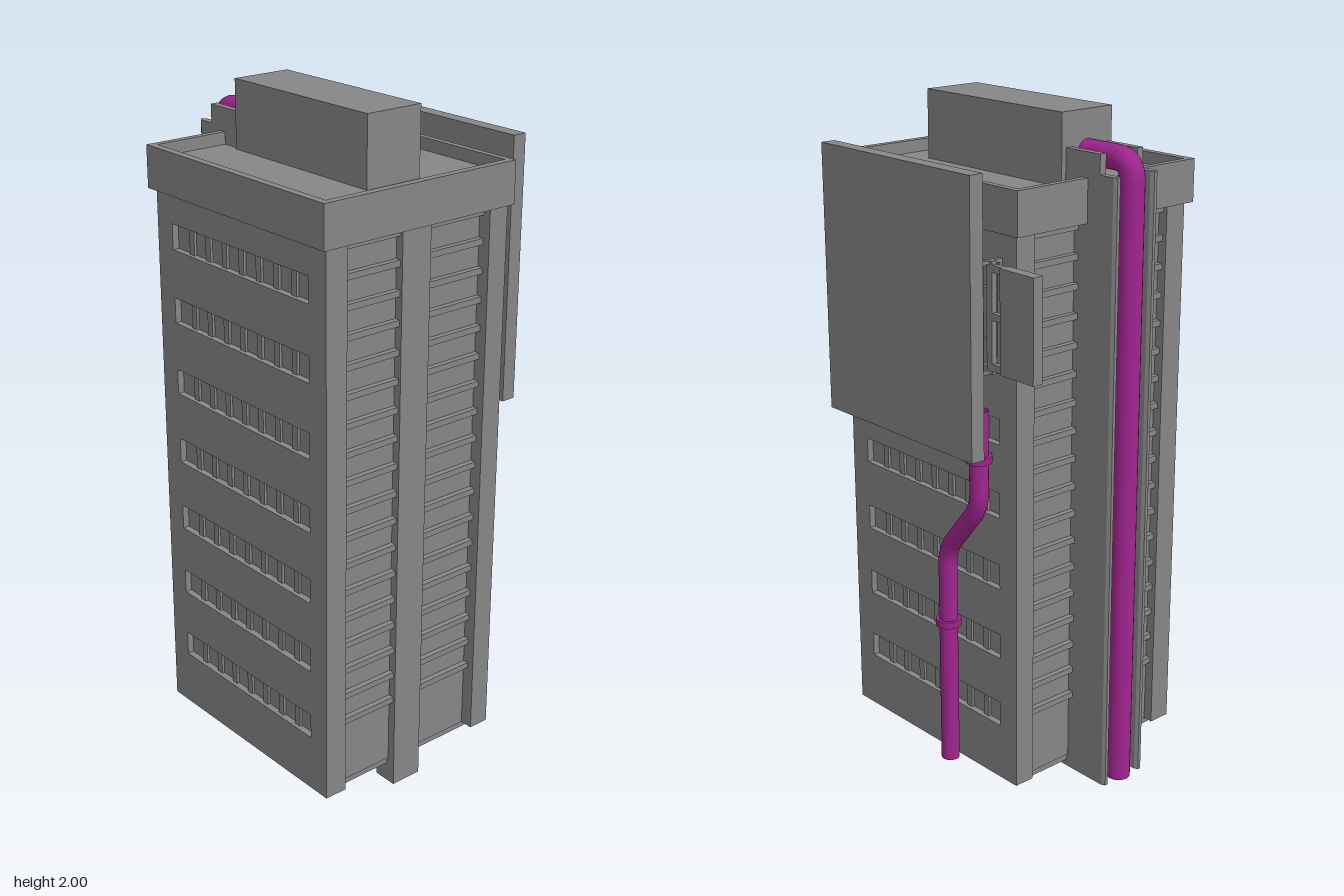
import * as THREE from 'three';

const grey = new THREE.MeshStandardMaterial({ color: 0x868686 });
const purple = new THREE.MeshStandardMaterial({ color: 0xa0248f, side: THREE.DoubleSide });

// Box given by its extents on each axis
function box(parent, name, x0, x1, y0, y1, z0, z1) {
  const mesh = new THREE.Mesh(new THREE.BoxGeometry(x1 - x0, y1 - y0, z1 - z0), grey);
  mesh.position.set((x0 + x1) / 2, (y0 + y1) / 2, (z0 + z1) / 2);
  mesh.name = name;
  parent.add(mesh);
}

function rect(Type, a0, a1, b0, b1) {
  const s = new Type();
  s.moveTo(a0, b0);
  s.lineTo(a1, b0);
  s.lineTo(a1, b1);
  s.lineTo(a0, b1);
  s.closePath();
  return s;
}

function group(parent, name) {
  const g = new THREE.Group();
  g.name = name;
  parent.add(g);
  return g;
}

// Tube along straight runs joined by rounded corners, closed at its lower end
function pipe(parent, name, points, radius, bend) {
  const pts = points.map(p => new THREE.Vector3(...p));
  const path = new THREE.CurvePath();
  let from = pts[0];
  for (let i = 1; i < pts.length - 1; i++) {
    const a = pts[i].clone().add(pts[i - 1].clone().sub(pts[i]).setLength(bend));
    const b = pts[i].clone().add(pts[i + 1].clone().sub(pts[i]).setLength(bend));
    path.add(new THREE.LineCurve3(from, a));
    path.add(new THREE.QuadraticBezierCurve3(a, pts[i], b));
    from = b;
  }
  path.add(new THREE.LineCurve3(from, pts[pts.length - 1]));
  const tube = new THREE.Mesh(new THREE.TubeGeometry(path, 160, radius, 24), purple);
  tube.name = name;
  const cap = new THREE.Mesh(new THREE.CircleGeometry(radius, 24), purple);
  cap.rotation.x = Math.PI / 2;
  cap.position.copy(pts[0]);
  cap.name = name + 'Cap';
  parent.add(tube, cap);
}

export function createModel() {
  const model = new THREE.Group();
  model.name = 'towerBlock';

  // Main body: core, corner pilasters and underside
  const body = group(model, 'body');
  box(body, 'core', -0.35, 0.245, 0.08, 1.74, -0.275, 0.395);
  for (const [x0, x1] of [[-0.352, -0.3], [0.2, 0.247]]) {
    box(body, 'frontPilaster', x0, x1, 0.08, 1.74, 0.39, 0.435);
    box(body, 'backPilaster', x0, x1, 0.08, 1.74, -0.305, -0.26);
  }
  box(body, 'undersideSlab', -0.33, 0.22, 0.06, 0.09, -0.27, 0.39);
  box(body, 'frontColumn', -0.1, 0, 0, 1.74, 0.345, 0.42);

  // Side walls with recessed window bands
  const rowY = i => 0.25 + i * 0.217;
  const rows = 7, panes = 8, bandZ0 = -0.235, bandZ1 = 0.365;
  for (const [name, x0, mullionX] of [['leftWall', 0.245, 0.244], ['rightWall', -0.37, -0.358]]) {
    const shape = rect(THREE.Shape, -0.435, 0.305, 0.08, 1.74);
    for (let i = 0; i < rows; i++) {
      shape.holes.push(rect(THREE.Path, -bandZ1, -bandZ0, rowY(i), rowY(i) + 0.075));
    }
    const geo = new THREE.ExtrudeGeometry(shape, { depth: 0.02, bevelEnabled: false });
    geo.rotateY(Math.PI / 2);
    const wall = new THREE.Mesh(geo, grey);
    wall.position.x = x0;
    wall.name = name;
    body.add(wall);
    // Low mullions on the floor of each band
    for (let i = 0; i < rows; i++) {
      for (let j = 1; j < panes; j++) {
        const z = bandZ0 + (bandZ1 - bandZ0) * j / panes;
        box(body, 'mullion', mullionX, mullionX + 0.009, rowY(i), rowY(i) + 0.075, z - 0.011, z + 0.011);
      }
    }
  }

  // Floor ledges between the pilasters, front and back
  const ledges = group(model, 'ledges');
  for (let i = 0; i < 18; i++) {
    const y = 0.28 + i * 0.083;
    for (const [x0, x1] of [[-0.3, -0.1], [0, 0.2]]) {
      box(ledges, 'frontLedge', x0, x1, y, y + 0.018, 0.385, 0.412);
    }
    for (const [x0, x1] of [[-0.3, -0.13], [0.03, 0.2]]) {
      box(ledges, 'backLedge', x0, x1, y, y + 0.018, -0.292, -0.265);
    }
  }

  // Parapet ring, roof deck and roof house
  const ring = rect(THREE.Shape, -0.385, 0.28, -0.445, 0.325);
  ring.holes.push(rect(THREE.Path, -0.361, 0.26, -0.422, 0.305));
  const ringGeo = new THREE.ExtrudeGeometry(ring, { depth: 0.123, bevelEnabled: false });
  ringGeo.rotateX(-Math.PI / 2);
  const parapet = new THREE.Mesh(ringGeo, grey);
  parapet.position.y = 1.713;
  parapet.name = 'parapet';
  model.add(parapet);
  box(model, 'roofDeck', -0.37, 0.27, 1.715, 1.8, -0.315, 0.435);
  box(model, 'roofHouse', -0.14, 0.045, 1.79, 2, -0.24, 0.322);

  // Back shaft: a channel with tapered fins holding the large pipe
  const shaft = group(model, 'backShaft');
  box(shaft, 'shaftCore', -0.13, 0.03, 0.04, 1.84, -0.37, -0.24);
  box(shaft, 'shaftFoot', -0.13, 0.03, 0.04, 0.09, -0.25, -0.01);
  for (const x of [-0.13, 0.008]) {
    box(shaft, 'shaftCheek', x, x + 0.022, 1.8, 1.905, -0.37, -0.23);
    const fin = new THREE.Shape([[0, 0.36], [0.022, 0.36], [0.022, 0.42], [0.016, 0.43], [0.006, 0.43], [0, 0.42]]
      .map(p => new THREE.Vector2(...p)));
    const geo = new THREE.ExtrudeGeometry(fin, { depth: 1.81, bevelEnabled: false });
    geo.rotateX(-Math.PI / 2);
    const mesh = new THREE.Mesh(geo, grey);
    mesh.position.set(x, 0.04, 0);
    mesh.name = 'shaftFin';
    shaft.add(mesh);
  }
  pipe(model, 'backPipe', [[-0.05, 0.04, -0.41], [-0.05, 1.885, -0.41], [-0.05, 1.885, -0.23]], 0.035, 0.055);

  // Side pipe with collars
  pipe(model, 'sidePipe', [[0.308, 0.09, -0.059], [0.308, 0.765, -0.059], [0.308, 0.935, -0.199],
    [0.308, 1.22, -0.199]], 0.027, 0.045);
  for (const [y, z] of [[0.537, -0.059], [1.08, -0.199]]) {
    const collar = new THREE.Mesh(new THREE.CylinderGeometry(0.037, 0.037, 0.02, 24, 1, true), purple);
    collar.position.set(0.308, y, z);
    collar.name = 'pipeCollar';
    model.add(collar);
    for (const dy of [-0.01, 0.01]) {
      const rim = new THREE.Mesh(new THREE.RingGeometry(0.026, 0.037, 24), purple);
      rim.rotation.x = -Math.PI / 2;
      rim.position.set(0.308, y + dy, z);
      rim.name = 'collarRim';
      model.add(rim);
    }
  }

  // Large side board, and the small sign on its open bracket
  box(model, 'sideBoard', 0.341, 0.385, 1.1, 1.88, -0.26, 0.375);
  const sign = group(model, 'smallSign');
  box(sign, 'signPanel', 0.286, 0.319, 1.345, 1.635, -0.43, -0.3);
  for (const y of [1.335, 1.635]) box(sign, 'bracketRail', 0.26, 0.343, y, y + 0.01, -0.25, -0.238);
  for (const x of [0.262, 0.331]) box(sign, 'bracketPost', x, x + 0.012, 1.335, 1.645, -0.25, -0.238);
  box(sign, 'signPost', 0.295, 0.311, 1.335, 1.645, -0.26, -0.238);
  for (const y of [1.345, 1.485, 1.615]) box(sign, 'signArm', 0.295, 0.311, y, y + 0.02, -0.305, -0.25);

  return model;
}
